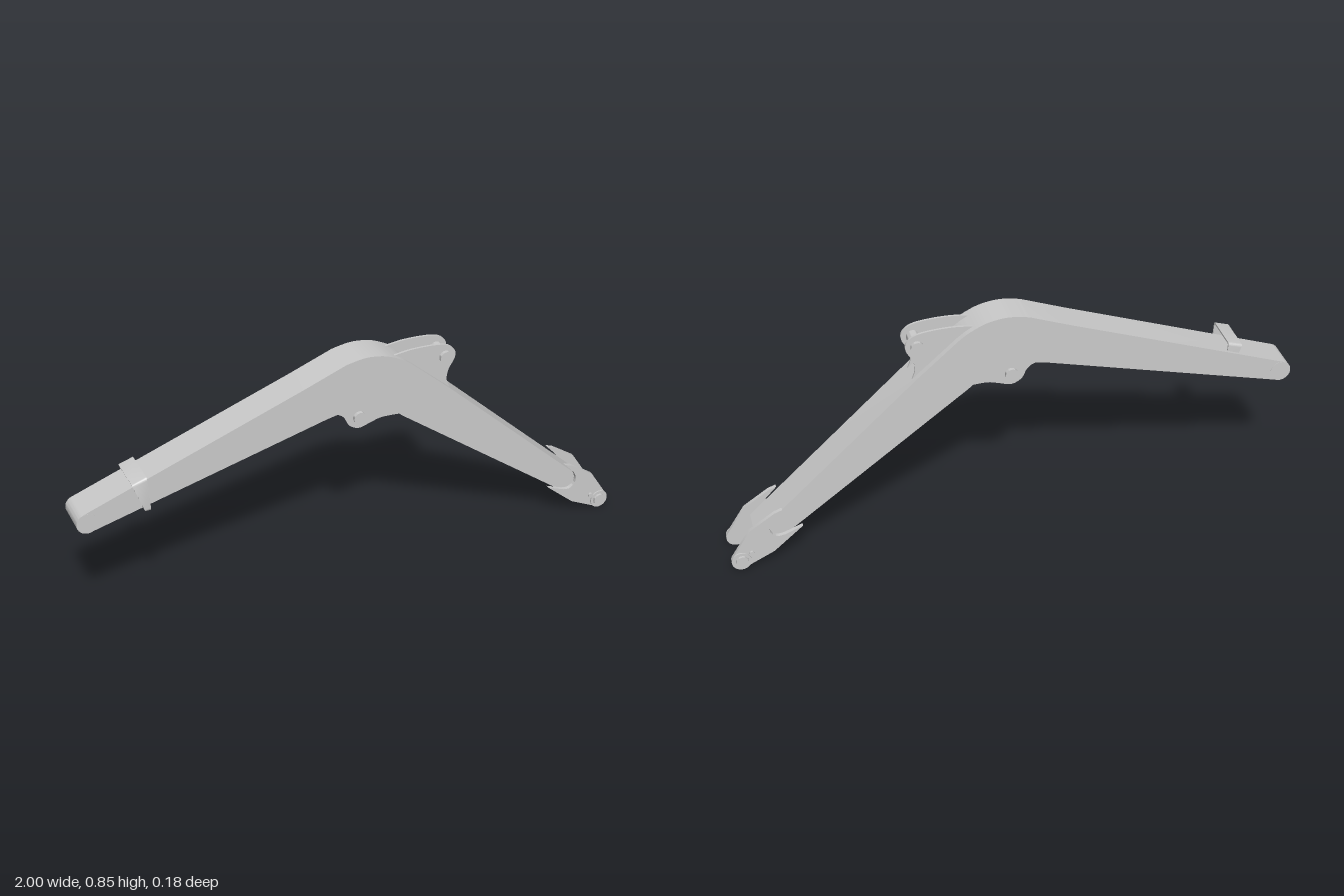
import * as THREE from 'three';
import { toCreasedNormals } from 'three/addons/utils/BufferGeometryUtils.js';

const grey = new THREE.MeshStandardMaterial({ color: 0xcccccc });
const v = (pts) => pts.map(([x, y]) => new THREE.Vector2(x, y));

export function createModel() {
  const model = new THREE.Group();
  model.name = 'boomArm';
  model.position.z = -0.005; // the arm is symmetric about this plane

  const add = (name, geometry, x = 0, y = 0, z = 0) => {
    const mesh = new THREE.Mesh(geometry, grey);
    mesh.name = name;
    mesh.position.set(x, y, z);
    model.add(mesh);
    return mesh;
  };
  // Plate of a given thickness centred on z = 0
  const plate = (shape, depth) => {
    const g = new THREE.ExtrudeGeometry(shape, { depth, bevelEnabled: false, curveSegments: 10 });
    g.translate(0, 0, -depth / 2);
    return toCreasedNormals(g, 0.5);
  };
  // Pin along z
  const pin = (r, length) => toCreasedNormals(new THREE.CylinderGeometry(r, r, length, 32).rotateX(Math.PI / 2), 0.6);

  // Bent box beam, rounded about the pivot at its thin end
  const boom = new THREE.Shape();
  boom.moveTo(0.863, 0.07);
  boom.lineTo(0.91, 0.126);
  boom.lineTo(0.33, 0.667);
  boom.lineTo(0.19, 0.79);
  boom.splineThru(v([[0.15, 0.818], [0.09, 0.845], [0.02, 0.855], [-0.05, 0.845]]));
  boom.lineTo(-0.205, 0.787);
  boom.lineTo(-0.976, 0.513);
  boom.absarc(-0.963, 0.478, 0.037, 1.91, 4.96, false);
  boom.lineTo(-0.12, 0.655);
  boom.splineThru(v([[-0.035, 0.67], [0.025, 0.666], [0.1, 0.64], [0.168, 0.59]]));
  boom.closePath();
  add('boom', plate(boom, 0.12));
  add('pivotPin', pin(0.037, 0.122), -0.963, 0.478);

  // Upper pair of cylinder lugs with their pin
  const upper = new THREE.Shape();
  upper.moveTo(0.126, 0.825);
  upper.splineThru(v([[0.195, 0.833], [0.275, 0.831], [0.33, 0.821], [0.359, 0.797],
    [0.361, 0.765], [0.339, 0.725], [0.333, 0.685], [0.35, 0.64]]));
  upper.lineTo(0.28, 0.66);
  upper.closePath();

  // Lower pair of cylinder lugs with their pin
  const lower = new THREE.Shape();
  lower.moveTo(-0.12, 0.657);
  lower.splineThru(v([[-0.075, 0.648], [-0.05, 0.63], [-0.03, 0.594], [0.005, 0.577],
    [0.045, 0.587], [0.09, 0.598], [0.165, 0.594]]));
  lower.lineTo(0.06, 0.69);
  lower.closePath();

  // Forked cheek plate at the wide end, notched around the beam
  const cheek = new THREE.Shape(v([[0.746, 0.147], [0.85, 0.058], [0.955, 0.007]]));
  cheek.absarc(0.965, 0.038, 0.034, -1.9, 0.5, false);
  cheek.lineTo(0.928, 0.158);
  cheek.lineTo(0.84, 0.217);
  cheek.lineTo(0.812, 0.227);
  cheek.lineTo(0.85, 0.186);
  cheek.splineThru(v([[0.86, 0.16], [0.855, 0.135], [0.835, 0.12], [0.81, 0.122]]));
  cheek.closePath();

  for (const [side, s] of [['left', 1], ['right', -1]]) {
    add(side + 'UpperLug', plate(upper, 0.008), 0, 0, s * 0.035);
    add(side + 'LowerLug', plate(lower, 0.008), 0, 0, s * 0.035);
    add(side + 'CheekPlate', plate(cheek, 0.014), 0, 0, s * 0.067);
    add(side + 'CheekBoss', pin(0.034, 0.006), 0.965, 0.039, s * 0.076);
    add(side + 'CheekPin', pin(0.022, 0.026), 0.963, 0.04, s * 0.074);
    add(side + 'KeeperBolt', pin(0.009, 0.012), 0.928, 0.066, s * 0.076);
  }
  add('upperLugPin', pin(0.022, 0.102), 0.324, 0.778);
  add('lowerLugPin', pin(0.022, 0.102), 0.005, 0.62);

  // Thin hose strap over the top and front of the beam, drawn in (z, y)
  const strap = new THREE.Shape();
  strap.moveTo(-0.05, 0.54);
  strap.lineTo(-0.05, 0.602);
  strap.quadraticCurveTo(-0.05, 0.612, -0.04, 0.612);
  strap.lineTo(0.085, 0.612);
  strap.quadraticCurveTo(0.095, 0.612, 0.095, 0.602);
  strap.lineTo(0.095, 0.502);
  strap.quadraticCurveTo(0.095, 0.492, 0.085, 0.492);
  strap.lineTo(0.055, 0.492);
  strap.lineTo(0.055, 0.498);
  strap.lineTo(0.083, 0.498);
  strap.quadraticCurveTo(0.09, 0.498, 0.09, 0.505);
  strap.lineTo(0.09, 0.599);
  strap.quadraticCurveTo(0.09, 0.606, 0.083, 0.606);
  strap.lineTo(-0.038, 0.606);
  strap.quadraticCurveTo(-0.044, 0.606, -0.044, 0.6);
  strap.lineTo(-0.044, 0.54);
  strap.closePath();
  const strapGeo = new THREE.ExtrudeGeometry(strap, { depth: 1, bevelEnabled: false, curveSegments: 6 });
  strapGeo.rotateY(-Math.PI / 2); // shape x -> z, depth -> -x
  // Lean the strap and widen it toward the top
  const p = strapGeo.attributes.position;
  for (let i = 0; i < p.count; i++) {
    const y = p.getY(i), t = (y - 0.492) / 0.12, w = 1 + p.getX(i);
    const x0 = THREE.MathUtils.lerp(-0.777, -0.816, t);
    const x1 = THREE.MathUtils.lerp(-0.758, -0.765, t);
    p.setX(i, THREE.MathUtils.lerp(x0, x1, w));
    p.setY(i, y + (w - 0.5) * 0.016 * t);
  }
  add('hoseStrap', toCreasedNormals(strapGeo, 0.5));

  return model;
}
